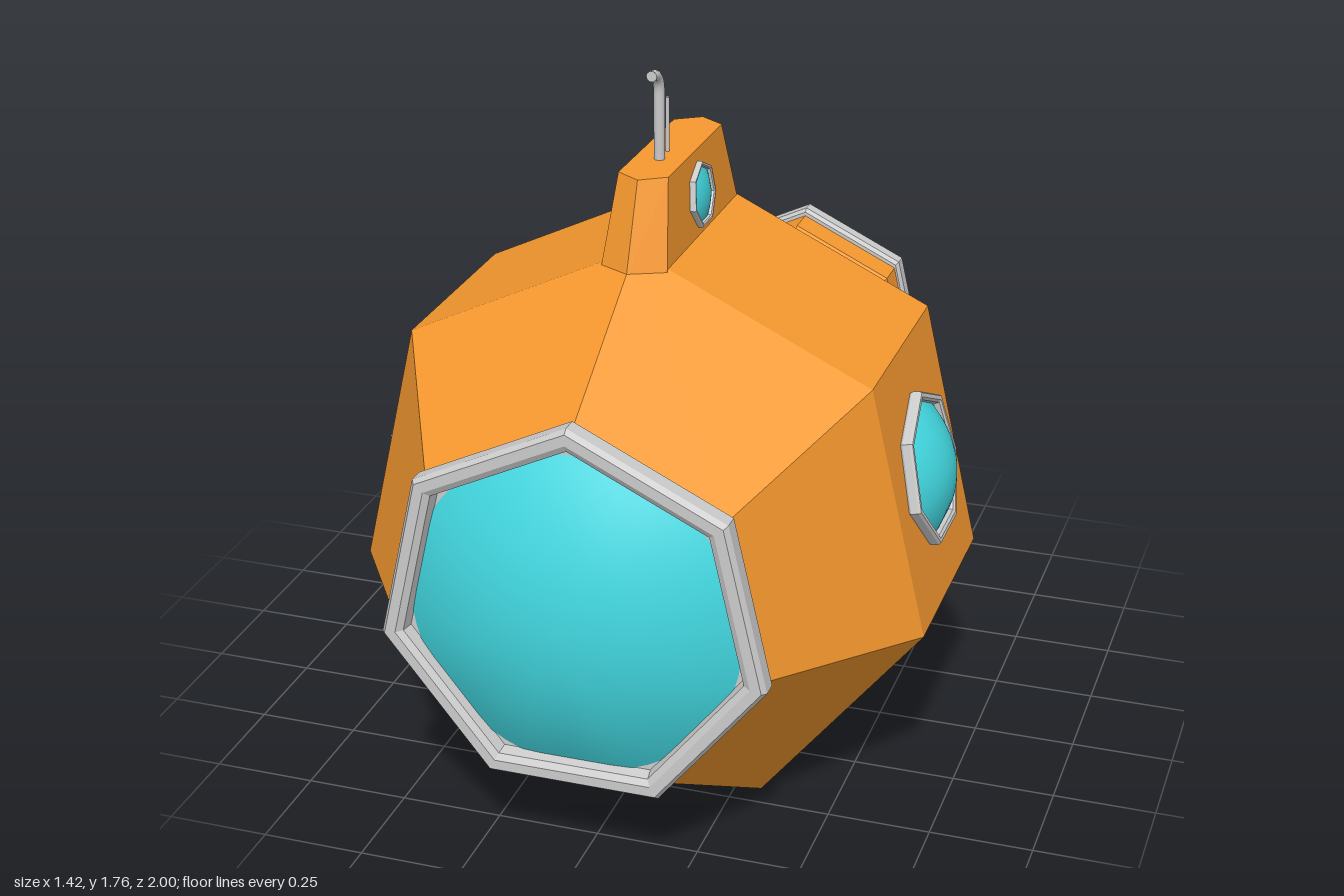
import * as THREE from 'three';
import { ConvexGeometry } from 'three/addons/geometries/ConvexGeometry.js';

const SIDES = 7;
const STEP = (Math.PI * 2) / SIDES;
const flat = (color) => new THREE.MeshStandardMaterial({ color, flatShading: true });
const orange = flat(0xf7992f);
const grey = flat(0xcccccc);
const smoothGrey = new THREE.MeshStandardMaterial({ color: 0xcccccc });
const glass = new THREE.MeshStandardMaterial({ color: 0x42d7e0 });

function addMesh(parent, name, geometry, material) {
  const mesh = new THREE.Mesh(geometry, material);
  mesh.name = name;
  parent.add(mesh);
  return mesh;
}

// Skin of heptagons, apex up, listed from front to back: [z, radius, centreY, centreX]
function loft(sections) {
  const corner = ([z, r, cy, cx = 0], i) => [cx + r * Math.sin(i * STEP), cy + r * Math.cos(i * STEP), z];
  const pos = [];
  for (let s = 0; s < sections.length - 1; s++) {
    const [front, back] = [sections[s], sections[s + 1]];
    for (let i = 0; i < SIDES; i++) {
      const a = corner(front, i), b = corner(front, i + 1);
      const c = corner(back, i + 1), d = corner(back, i);
      if (front[1] > 0) pos.push(...a, ...b, ...d);
      if (back[1] > 0) pos.push(...b, ...c, ...d);
    }
  }
  const geo = new THREE.BufferGeometry();
  geo.setAttribute('position', new THREE.Float32BufferAttribute(pos, 3));
  geo.computeVertexNormals();
  return geo;
}

// Bevelled heptagonal frame around the z axis, from z = 0 to z = depth
function frameGeometry(outer, inner, depth) {
  const w = outer - inner;
  const profile = [
    [outer - w * 0.15, 0], [outer, depth * 0.2], [outer, depth * 0.8], [outer - w * 0.15, depth],
    [inner + w * 0.45, depth], [inner + w * 0.2, depth * 0.85], [inner, 0], [outer - w * 0.15, 0],
  ].map(([r, y]) => new THREE.Vector2(r, y));
  const geo = new THREE.LatheGeometry(profile, SIDES, Math.PI).rotateX(Math.PI / 2).toNonIndexed();
  geo.computeVertexNormals();
  return geo;
}

// Shallow dome whose round rim is flattened along the seven frame sides
function domeGeometry(radius, height) {
  const profile = [];
  for (let k = 0; k <= 12; k++) {
    const t = 1 - k / 12;
    profile.push(new THREE.Vector2(radius * t, height * (1 - t * t)));
  }
  const geo = new THREE.LatheGeometry(profile, SIDES * 8, Math.PI).rotateX(Math.PI / 2);
  const p = geo.attributes.position;
  for (let i = 0; i < p.count; i++) {
    const angle = Math.atan2(p.getX(i), p.getY(i)) + Math.PI * 2;
    const f = Math.min(1, 0.957 / Math.cos((angle % STEP) - STEP / 2));
    p.setX(i, p.getX(i) * f);
    p.setY(i, p.getY(i) * f);
  }
  return geo;
}

function discGeometry(radius) {
  return new THREE.CircleGeometry(radius, SIDES, Math.PI / 2);
}

// Window facing +z: frame, backing plate and bulging glass
function porthole(name, outer, inner, depth, bulge) {
  const group = new THREE.Group();
  group.name = name;
  addMesh(group, 'windowFrame', frameGeometry(outer, inner, depth), grey);
  addMesh(group, 'windowBacking', discGeometry(inner * 1.05), grey).position.z = depth * 0.4;
  addMesh(group, 'windowGlass', domeGeometry(inner * 0.98, bulge), glass).position.z = depth * 0.42;
  return group;
}

export function createModel() {
  const model = new THREE.Group();
  model.name = 'submarine';

  // Hull
  addMesh(model, 'hull', loft([
    [0.87, 0, 0.656], [0.87, 0.45, 0.656], [0.44, 0.723, 0.651], [-0.09, 0.723, 0.651],
    [-0.52, 0.447, 0.654], [-0.59, 0.447, 0.654], [-0.59, 0, 0.654],
  ]), orange);

  // Flared tail duct with its rim and closing plate
  addMesh(model, 'tailDuct', loft([
    [-0.58, 0.258, 0.632], [-0.74, 0.258, 0.632], [-0.86, 0.331, 0.64, 0.015],
    [-0.96, 0.331, 0.64, 0.015], [-0.96, 0, 0.64, 0.015],
  ]), orange);
  const tail = new THREE.Group();
  tail.name = 'tailRim';
  tail.position.set(0.015, 0.647, -0.942);
  tail.rotation.y = Math.PI;
  addMesh(tail, 'rimRing', frameGeometry(0.343, 0.285, 0.058), grey);
  addMesh(tail, 'tailPlate', discGeometry(0.3), grey).position.z = 0.045;
  model.add(tail);

  // Large front window
  const frontWindow = porthole('frontWindow', 0.473, 0.405, 0.065, 0.123);
  frontWindow.position.set(0, 0.656, 0.85);
  model.add(frontWindow);

  // Conning tower: a long hexagon that narrows upwards
  const outline = (y, halfWidth, tipFront, sideFront, sideBack, tipBack) => [
    [0, tipFront], [halfWidth, sideFront], [halfWidth, sideBack],
    [0, tipBack], [-halfWidth, sideBack], [-halfWidth, sideFront],
  ].map(([x, z]) => new THREE.Vector3(x, y, z));
  addMesh(model, 'tower', new ConvexGeometry([
    ...outline(1.325, 0.08, 0.505, 0.45, -0.09, -0.145),
    ...outline(1.535, 0.06, 0.42, 0.38, -0.02, -0.06),
  ]), orange);

  // Side windows on the hull and on the tower, mirrored
  for (const [label, side] of [['left', 1], ['right', -1]]) {
    const place = (window, x, y, tilt) => {
      window.position.set(side * x, y, 0.18);
      window.rotation.set(0, side * Math.PI / 2, side * tilt, 'ZYX');
      model.add(window);
    };
    place(porthole(label + 'HullWindow', 0.19, 0.163, 0.03, 0.06), 0.632, 0.805, Math.PI / 14);
    place(porthole(label + 'TowerWindow', 0.08, 0.067, 0.016, 0.016), 0.069, 1.428, 0.1);
  }

  // Periscope bending forwards, and a thin antenna
  const bend = new THREE.CurvePath();
  const v = (y, z) => new THREE.Vector3(0, y, z);
  bend.add(new THREE.LineCurve3(v(1.52, 0.265), v(1.7, 0.265)));
  bend.add(new THREE.QuadraticBezierCurve3(v(1.7, 0.265), v(1.748, 0.268), v(1.748, 0.318)));
  addMesh(model, 'periscope', new THREE.TubeGeometry(bend, 24, 0.013, 10), smoothGrey);
  const cap = addMesh(model, 'periscopeEnd', new THREE.CircleGeometry(0.013, 10), smoothGrey);
  cap.position.set(0, 1.748, 0.318);
  const antenna = addMesh(model, 'antenna', new THREE.CylinderGeometry(0.005, 0.005, 0.145, 8), smoothGrey);
  antenna.position.set(0, 1.594, 0.207);

  return model;
}
